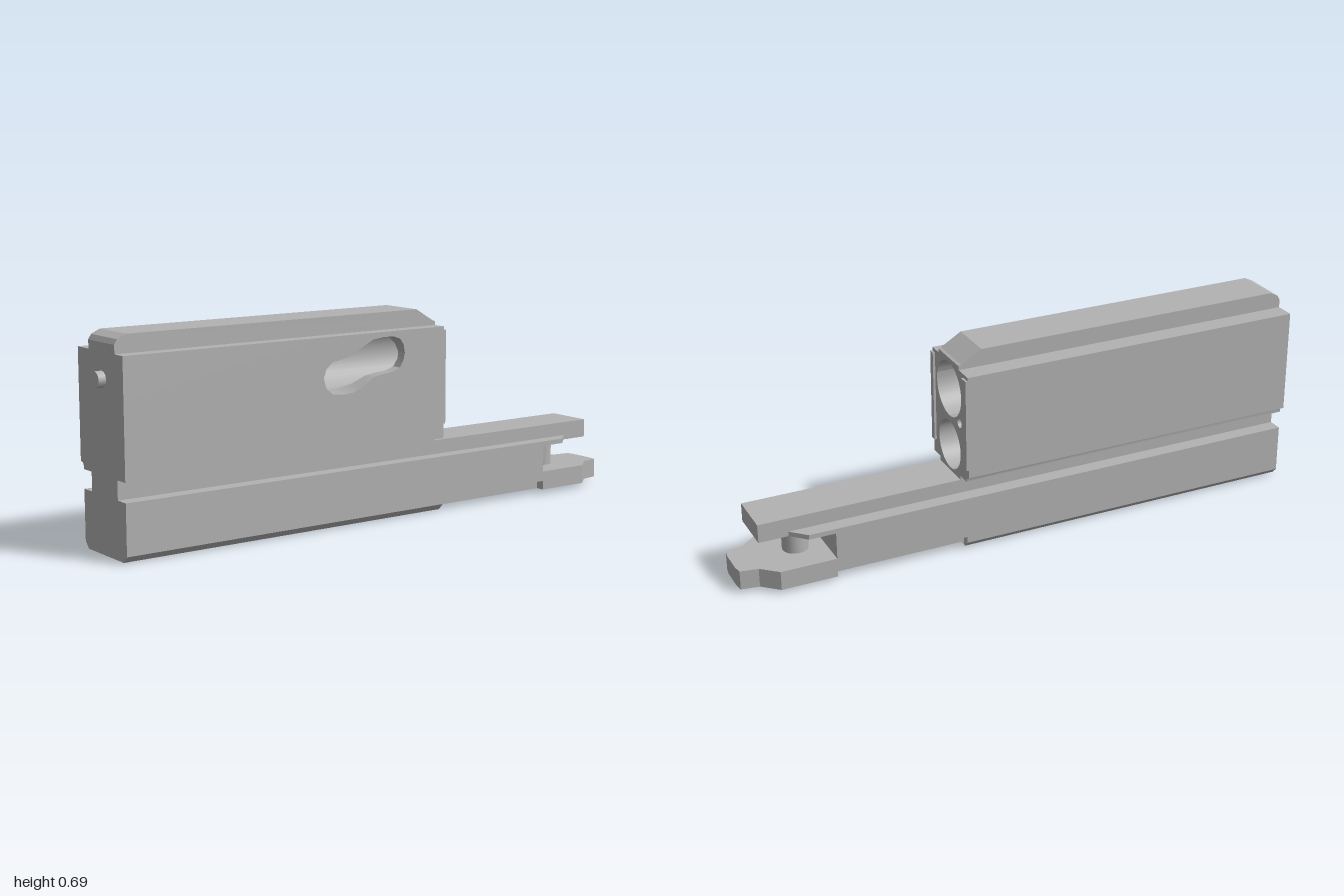
import * as THREE from 'three';
import { toCreasedNormals } from 'three/addons/utils/BufferGeometryUtils.js';

const steel = new THREE.MeshStandardMaterial({ color: 0xb2b2b2, side: THREE.DoubleSide });
steel.name = 'plain grey metal';

const FRONT = 0.975, BACK = -0.235, CX = 0.01;
const upper = { x: CX, y: 0.53, r: 0.095, end: 0.9 };
const lower = { x: CX, y: 0.33, r: 0.085, end: 0.5 };
const small = { x: -0.07, y: 0.44, r: 0.016, end: -0.1 };

// Slot edge in the +x wall: z, lower y, upper y
const slot = [
  [0.255, 0.495, 0.495], [0.245, 0.462, 0.525], [0.22, 0.442, 0.545], [0.18, 0.437, 0.552],
  [0.14, 0.44, 0.562], [0.10, 0.455, 0.585], [0.06, 0.482, 0.605], [0.02, 0.49, 0.61],
  [-0.02, 0.493, 0.61], [-0.05, 0.505, 0.60], [-0.065, 0.53, 0.58], [-0.07, 0.552, 0.552],
];

// Body cross-section, from the top of the +x wall round to its foot
const outline = [
  [0.138, 0.627], [-0.138, 0.627], [-0.138, 0.272], [-0.125, 0.27], [-0.12, 0.262], [-0.12, 0.25],
  [-0.07, 0.25], [-0.07, 0.188], [-0.12, 0.188], [-0.12, 0.024], [-0.1, 0.003], [0.118, 0.003],
  [0.138, 0.024], [0.138, 0.188], [0.09, 0.188], [0.09, 0.25], [0.138, 0.25],
];

// Surface of nu x nv cells whose points come from f(i, j)
function grid(nu, nv, f) {
  const pos = [], idx = [];
  for (let i = 0; i <= nu; i++) for (let j = 0; j <= nv; j++) pos.push(...f(i, j));
  for (let i = 0; i < nu; i++) for (let j = 0; j < nv; j++) {
    const a = i * (nv + 1) + j, b = a + nv + 1;
    idx.push(a, b, a + 1, b, b + 1, a + 1);
  }
  const g = new THREE.BufferGeometry();
  g.setAttribute('position', new THREE.Float32BufferAttribute(pos, 3));
  g.setIndex(idx);
  return toCreasedNormals(g, 0.6);
}

const toShape = (pts) => new THREE.Shape(pts.map(([x, y]) => new THREE.Vector2(x, y)));
const lerp = THREE.MathUtils.lerp;

export function createModel() {
  const model = new THREE.Group();
  const add = (name, geometry, parent = model) => {
    const mesh = new THREE.Mesh(geometry, steel);
    mesh.name = name;
    parent.add(mesh);
    return mesh;
  };
  const box = (name, x0, x1, y0, y1, z0, z1) =>
    add(name, new THREE.BoxGeometry(x1 - x0, y1 - y0, z1 - z0))
      .position.set((x0 + x1) / 2, (y0 + y1) / 2, (z0 + z1) / 2);
  // Side profile (z, y) extruded across x
  const across = (name, pts, x0, x1) => {
    const g = new THREE.ExtrudeGeometry(toShape(pts.map(([z, y]) => [-z, y])),
      { depth: x1 - x0, bevelEnabled: false });
    add(name, g.rotateY(Math.PI / 2).translate(x0, 0, 0));
  };
  // Plan (x, z) extruded upwards
  const plan = (name, pts, y0, y1) => {
    const g = new THREE.ExtrudeGeometry(toShape(pts.map(([x, z]) => [x, -z])),
      { depth: y1 - y0, bevelEnabled: false });
    add(name, g.rotateX(-Math.PI / 2).translate(0, y0, 0));
  };

  // Body: long walls, slotted wall, ends
  const body = new THREE.Group();
  body.name = 'body';
  model.add(body);
  add('bodyWalls', grid(outline.length - 1, 1, (i, j) => [...outline[i], j ? FRONT : BACK]), body);
  add('bodyFront', new THREE.ShapeGeometry(toShape(outline)).translate(0, 0, FRONT), body);
  const backShape = toShape(outline);
  for (const b of [upper, lower, small]) {
    backShape.holes.push(new THREE.Path().absarc(b.x, b.y, b.r, 0, Math.PI * 2, true));
  }
  add('bodyBack', new THREE.ShapeGeometry(backShape, 16).rotateY(Math.PI)
    .scale(-1, 1, 1).translate(0, 0, BACK), body);

  const rows = (start) => [[start, 0.495, 0.495], ...slot, [BACK, 0.552, 0.552]];
  const wall = rows(FRONT), inner = rows(upper.end);
  const angle = (y) => Math.asin(THREE.MathUtils.clamp((y - upper.y) / upper.r, -1, 1));
  const boreX = (y) => upper.x + upper.r * Math.cos(angle(y));
  const n = wall.length - 1;
  for (const [k, edge, quarter, side] of [[1, 0.25, -Math.PI / 2, 'Lower'], [2, 0.627, Math.PI / 2, 'Upper']]) {
    add('slottedWall' + side, grid(n, 1, (i, j) => [0.138, j ? wall[i][k] : edge, wall[i][0]]), body);
    add('slotEdge' + side, grid(slot.length - 1, 1, (i, j) =>
      [j ? 0.138 : boreX(slot[i][k]), slot[i][k], slot[i][0]]), body);
    add('boreSide' + side, grid(n, 8, (i, j) => {
      const a = lerp(quarter, angle(inner[i][k]), j / 8);
      return [upper.x + upper.r * Math.cos(a), upper.y + upper.r * Math.sin(a), inner[i][0]];
    }), body);
  }

  // Bores
  add('upperBoreFarSide', grid(16, 1, (i, j) => {
    const a = Math.PI / 2 + Math.PI * i / 16;
    return [upper.x + upper.r * Math.cos(a), upper.y + upper.r * Math.sin(a), j ? upper.end : BACK];
  }), body);
  for (const b of [lower, small]) {
    add('bore', new THREE.CylinderGeometry(b.r, b.r, b.end - BACK, 32, 1, true).rotateX(Math.PI / 2)
      .translate(b.x, b.y, (b.end + BACK) / 2), body);
  }
  for (const b of [upper, lower, small]) {
    add('boreFloor', new THREE.CircleGeometry(b.r, 32).translate(b.x, b.y, b.end), body);
  }

  // Top rail with bevelled ends
  across('topRail', [[FRONT, 0.627], [FRONT, 0.655], [0.965, 0.671], [0.935, 0.685],
    [-0.155, 0.685], [-0.225, 0.643], [BACK, 0.64], [BACK, 0.627]], -0.07, 0.09);

  // Front pin
  add('frontPin', new THREE.CylinderGeometry(0.026, 0.026, 0.035, 12).rotateX(Math.PI / 2))
    .position.set(CX, 0.544, 0.9825);

  // Raised lips on the back face
  box('backLipLeft', 0.118, 0.138, 0.3, 0.615, BACK - 0.008, BACK);
  box('backLipRight', -0.138, -0.105, 0.3, 0.615, BACK - 0.008, BACK);

  // Tail: narrow top bar, wide block and tapered ledge
  box('tailTopBar', -0.07, 0.09, 0.18, 0.235, -0.93, BACK);
  box('tailBlock', -0.12, 0.138, 0.046, 0.188, -0.69, BACK);
  plan('tailLedge', [[-0.12, -0.69], [0.138, -0.69], [0.138, -0.78], [0.09, -0.83], [0.09, -0.93],
    [-0.07, -0.93], [-0.07, -0.83], [-0.12, -0.78]], 0.172, 0.188);
  box('tailStep', -0.07, 0.09, 0.15, 0.175, -0.73, -0.69);

  // Lower arm with tapered tip
  plan('lowerArm', [[-0.12, -0.69], [0.138, -0.69], [0.138, -0.88], [0.09, -0.935], [0.08, -0.995],
    [0.05, -1], [-0.03, -1], [-0.06, -0.995], [-0.07, -0.935], [-0.12, -0.88]], 0.015, 0.08);
  across('lowerArmRoot', [[BACK, 0.003], [BACK, 0.06], [-0.7, 0.06], [-0.7, 0.015], [-0.245, 0.015]],
    -0.09, 0.108);

  // Cross pin between the arms
  add('crossPin', new THREE.CylinderGeometry(0.043, 0.043, 0.18, 24)).position.set(CX, 0.09, -0.785);

  return model;
}
